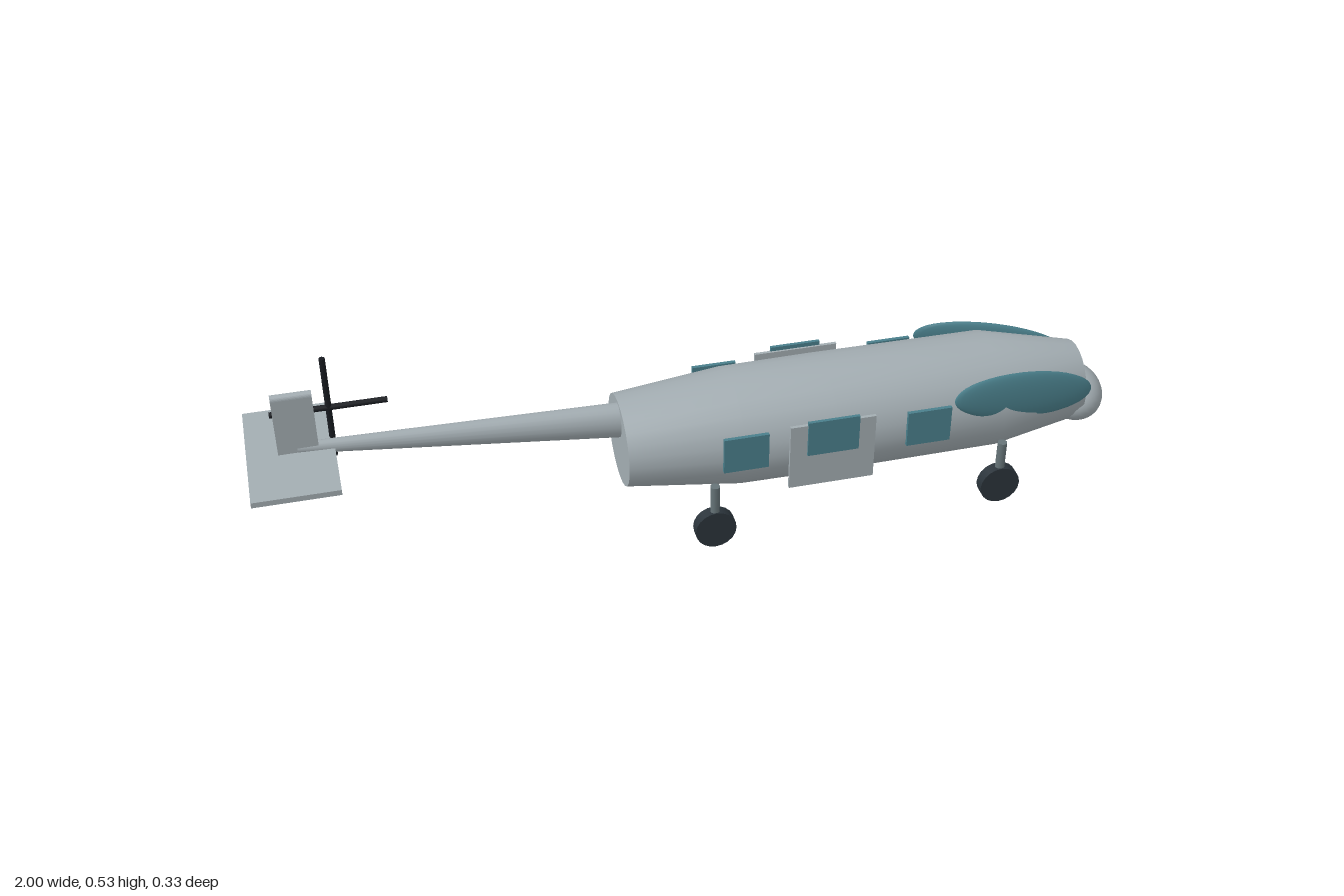
import * as THREE from 'three';

const mat = (name, color) => {
  const m = new THREE.MeshStandardMaterial({ color });
  m.name = name;
  return m;
};

// Smooth hull through elliptical rings [x, centreY, radiusY, radiusZ], with flat end caps
function hullGeometry(rings, n = 24) {
  const pos = [], idx = [];
  const addRing = ([x, cy, ry, rz]) => {
    const start = pos.length / 3;
    for (let j = 0; j < n; j++) {
      const a = (j / n) * Math.PI * 2;
      pos.push(x, cy + ry * Math.cos(a), rz * Math.sin(a));
    }
    return start;
  };
  const starts = rings.map(addRing);
  for (let i = 0; i < rings.length - 1; i++) {
    for (let j = 0; j < n; j++) {
      const k = (j + 1) % n, p = starts[i], q = starts[i + 1];
      idx.push(p + j, p + k, q + j, p + k, q + k, q + j);
    }
  }
  for (const [ring, front] of [[rings[0], false], [rings[rings.length - 1], true]]) {
    const s = addRing(ring);
    for (let j = 1; j < n - 1; j++) {
      if (front) idx.push(s, s + j, s + j + 1);
      else idx.push(s, s + j + 1, s + j);
    }
  }
  const g = new THREE.BufferGeometry();
  g.setAttribute('position', new THREE.Float32BufferAttribute(pos, 3));
  g.setIndex(idx);
  g.computeVertexNormals();
  return g;
}

export function createModel() {
  const model = new THREE.Group();
  model.name = 'helicopter';
  const body = mat('bodyGrey', 0xa3adb2);
  const glass = mat('tealGlass', 0x4a7f8b);
  const tyre = mat('tyreDark', 0x2b343b);
  const metal = mat('strutMetal', 0x667478);
  const blade = mat('bladeBlack', 0x181b20);

  const add = (name, geometry, material, x = 0, y = 0, z = 0) => {
    const m = new THREE.Mesh(geometry, material);
    m.name = name;
    m.position.set(x, y, z);
    model.add(m);
    return m;
  };
  const box = (w, h, d) => new THREE.BoxGeometry(w, h, d);

  // Fuselage and nose
  add('fuselage', hullGeometry([
    [-0.18, 0.228, 0.104, 0.115],
    [0.08, 0.225, 0.133, 0.145],
    [0.3, 0.225, 0.134, 0.148],
    [0.7, 0.225, 0.134, 0.143],
    [0.925, 0.215, 0.095, 0.088],
  ]), body);
  const nose = add('nose', new THREE.SphereGeometry(1, 32, 20), body, 0.93, 0.178, 0);
  nose.scale.set(0.07, 0.063, 0.09);

  // Tail boom and tail surfaces
  add('tailBoom', hullGeometry([
    [-0.89, 0.333, 0.013, 0.011],
    [-0.16, 0.282, 0.043, 0.035],
  ], 20), body);
  add('horizontalStabilizer', box(0.19, 0.013, 0.33), body, -0.905, 0.321, 0);
  const fin = new THREE.Shape();
  fin.moveTo(-0.01, 0.305);
  fin.lineTo(0.01, 0.305);
  fin.lineTo(0.01, 0.467);
  fin.absarc(0, 0.467, 0.01, 0, Math.PI, false);
  fin.closePath();
  const finGeo = new THREE.ExtrudeGeometry(fin, { depth: 0.088, bevelEnabled: false, curveSegments: 6 });
  finGeo.rotateY(Math.PI / 2);
  add('verticalFin', finGeo, body, -0.932, 0, 0);

  // Tail rotor on the right side
  const bladeGeo = new THREE.CylinderGeometry(0.007, 0.007, 0.255, 10);
  add('tailRotorBladeVertical', bladeGeo, blade, -0.812, 0.405, -0.033);
  add('tailRotorBladeHorizontal', bladeGeo, blade, -0.812, 0.405, -0.033).rotation.z = Math.PI / 2;

  for (const [side, s] of [['left', 1], ['right', -1]]) {
    // Bulging cockpit window, following the taper of the nose
    const cockpit = add(side + 'CockpitWindow', new THREE.SphereGeometry(1, 32, 20), glass, 0.755, 0.27, s * 0.112);
    cockpit.scale.set(0.19, 0.058, 0.016);
    cockpit.rotation.set(-s * 0.12, s * 0.165, -0.19, 'YZX');

    // Sliding door and cabin windows
    add(side + 'Door', box(0.2, 0.167, 0.008), body, 0.28, 0.2215, s * 0.151);
    add(side + 'DoorWindow', box(0.12, 0.09, 0.008), glass, 0.28, 0.27, s * 0.156);
    add(side + 'RearWindow', box(0.104, 0.09, 0.009), glass, 0.08, 0.25, s * 0.147);
    add(side + 'FrontWindow', box(0.104, 0.09, 0.009), glass, 0.51, 0.25, s * 0.148);

    // Fixed wheels on short struts
    for (const [end, x] of [['Rear', 0.01], ['Front', 0.7]]) {
      add(side + end + 'Strut', new THREE.CylinderGeometry(0.011, 0.011, 0.115, 12), metal, x, 0.1075, s * 0.142);
      const wheel = add(side + end + 'Wheel', new THREE.CylinderGeometry(0.048, 0.048, 0.027, 20), tyre, x, 0.048, s * 0.1415);
      wheel.rotation.x = Math.PI / 2;
    }
  }
  return model;
}
